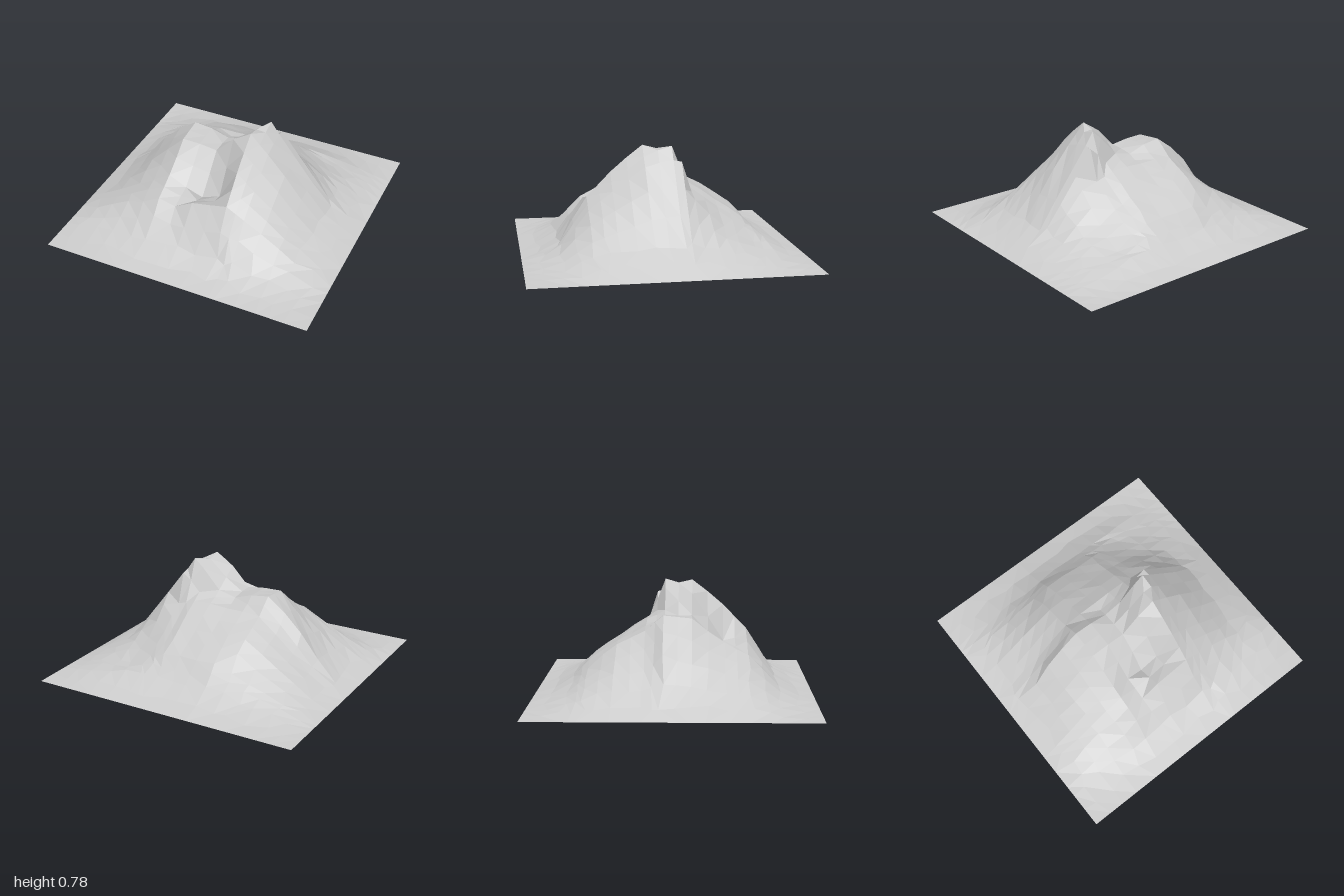
import * as THREE from 'three';

// Cross-sections from back to front: z, then [x, height] breakpoints.
// Each one falls to ground level at x = -1 and x = 1.
const sections = [
  [-0.73, [[-0.87, 0.02], [-0.2, 0.12], [0.4, 0.11], [0.87, 0.02]]],
  [-0.6, [[-0.87, 0.04], [-0.2, 0.26], [0.2, 0.23], [0.47, 0.12], [0.73, 0.07]]],
  [-0.4, [[-0.87, 0.05], [-0.33, 0.39], [0.2, 0.37], [0.47, 0.23], [0.73, 0.11]]],
  [-0.2, [[-0.8, 0.09], [-0.33, 0.49], [0.2, 0.5], [0.47, 0.42], [0.73, 0.15]]],
  // steep back of the main summit
  [-0.13, [[-0.8, 0.1], [-0.33, 0.55], [-0.07, 0.5], [0.2, 0.55], [0.33, 0.68], [0.47, 0.5], [0.73, 0.17]]],
  // twin summits with a saddle between them
  [-0.07, [[-0.8, 0.1], [-0.53, 0.45], [-0.33, 0.6], [-0.07, 0.54], [0.07, 0.57], [0.27, 0.78], [0.47, 0.5], [0.73, 0.17]]],
  [0.13, [[-0.8, 0.1], [-0.33, 0.57], [-0.07, 0.55], [0.07, 0.7], [0.2, 0.78], [0.47, 0.48], [0.73, 0.17]]],
  // hollow in the front, closed by a low lip
  [0.36, [[-0.8, 0.1], [-0.33, 0.4], [-0.07, 0.28], [0.07, 0.34], [0.2, 0.59], [0.73, 0.14]]],
  [0.53, [[-0.8, 0.08], [-0.33, 0.31], [-0.2, 0.29], [-0.07, 0.36], [0.2, 0.42], [0.73, 0.11]]],
  [0.73, [[-0.7, 0.04], [-0.37, 0.1], [0.4, 0.1], [0.7, 0.04]]],
];

// Linear interpolation along a list of [position, value] pairs
function along(pairs, t) {
  const i = Math.max(1, pairs.findIndex((p) => p[0] >= t));
  const [t0, v0] = pairs[i - 1];
  const [t1, v1] = pairs[i];
  return THREE.MathUtils.lerp(v0, v1, (t - t0) / (t1 - t0));
}

// Ground height: sections blended in z, with a curved apron out to the front and back edges
function heightAt(x, z) {
  const reach = sections.at(-1)[0];
  const profile = sections.map(([sz, line]) => [sz, along([[-1, 0], ...line, [1, 0]], x)]);
  const apron = Math.min(1, (1 - Math.abs(z)) / (1 - reach));
  return along(profile, THREE.MathUtils.clamp(z, -reach, reach)) * apron ** 1.6;
}

// Repeatable roughness in -1..1
function rough(i, j) {
  const s = Math.sin(i * 12.99 + j * 78.23) * 43758.55;
  return 2 * (s - Math.floor(s)) - 1;
}

// Ground point, shifted sideways on the lower slopes so the facets look irregular
function groundPoint(x, z, i, j) {
  const low = Math.max(0, 1 - heightAt(x, z) / 0.35);
  const px = x + 0.04 * low * rough(i, j) * Math.min(1, 8 * (1 - Math.abs(x)));
  const pz = z + 0.03 * low * rough(j, i) * Math.min(1, 8 * (1 - Math.abs(z)));
  const y = heightAt(px, pz);
  return [px, y + 0.008 * rough(i + 40, j) * Math.min(1, y / 0.3), pz];
}

export function createModel() {
  // Even columns, plus one through the main summit
  const columns = Array.from({ length: 16 }, (_, k) => -1 + (k * 2) / 15);
  columns.push(0.27);
  columns.sort((a, b) => a - b);

  // A row on every section, and one halfway across the wider gaps
  const stops = [-1, ...sections.map((s) => s[0]), 1];
  const rows = stops.flatMap((z, k) => (
    k && z - stops[k - 1] > 0.1 ? [(z + stops[k - 1]) / 2, z] : [z]));

  const grid = rows.map((z, j) => columns.map((x, i) => groundPoint(x, z, i, j)));

  // Two flat facets per cell, split along the flatter diagonal
  const positions = [];
  const add = (...corners) => corners.forEach((c) => positions.push(...c));
  for (let j = 0; j < rows.length - 1; j++) {
    for (let i = 0; i < columns.length - 1; i++) {
      const [a, b] = grid[j].slice(i, i + 2);
      const [d, c] = grid[j + 1].slice(i, i + 2);
      if (Math.abs(a[1] - c[1]) < Math.abs(b[1] - d[1])) add(a, d, c, a, c, b);
      else add(a, d, b, b, d, c);
    }
  }

  const geometry = new THREE.BufferGeometry();
  geometry.setAttribute('position', new THREE.Float32BufferAttribute(positions, 3));
  geometry.computeVertexNormals();
  const mountain = new THREE.Mesh(geometry, new THREE.MeshStandardMaterial({
    color: 0xcccccc, flatShading: true, side: THREE.DoubleSide,
  }));
  mountain.name = 'mountain';

  const group = new THREE.Group();
  group.name = 'terrain';
  group.add(mountain);
  return group;
}
